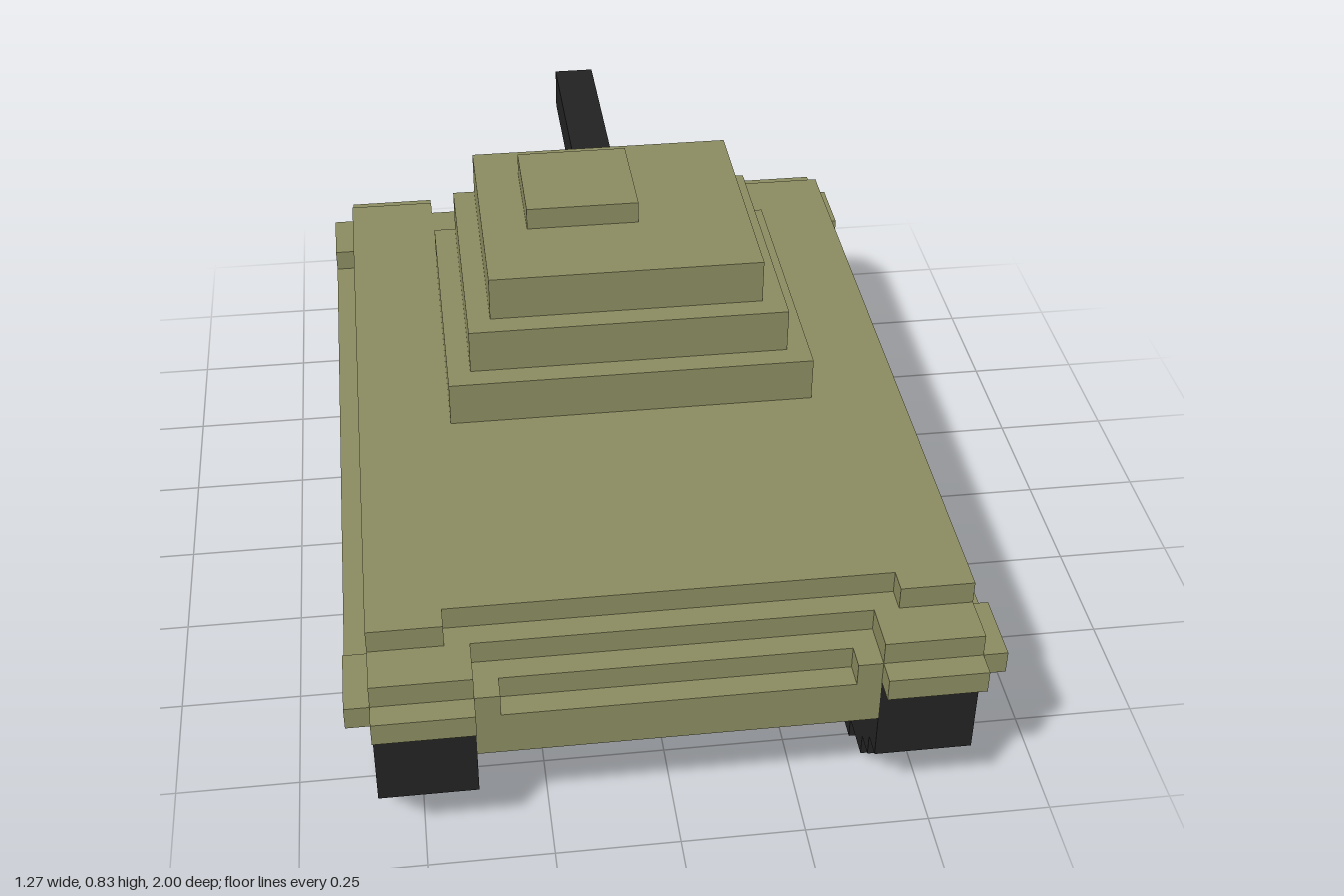
import * as THREE from 'three';

const U = 2 / 41; // one block

const olive = new THREE.MeshStandardMaterial({ color: 0x8a8b5f });
olive.name = 'olive paint';
const black = new THREE.MeshStandardMaterial({ color: 0x222222 });
black.name = 'black rubber';
const grey = new THREE.MeshStandardMaterial({ color: 0x505050 });
grey.name = 'grey wheel';

// Box from its limits, in blocks
function block(parent, name, material, x0, x1, y0, y1, z0, z1) {
  const g = new THREE.BoxGeometry(x1 - x0, y1 - y0, z1 - z0);
  g.translate((x0 + x1) / 2, (y0 + y1) / 2, (z0 + z1) / 2);
  const m = new THREE.Mesh(g, material);
  m.name = name;
  parent.add(m);
}

// Side profile (symmetric front to back) extruded across x, centred on x = 0
function sideProfile(parent, name, material, points, width, z = 0) {
  const shape = new THREE.Shape(points.map(([a, b]) => new THREE.Vector2(a, b)));
  const g = new THREE.ExtrudeGeometry(shape, { depth: width, bevelEnabled: false });
  g.translate(0, 0, -width / 2);
  g.rotateY(Math.PI / 2);
  g.translate(0, 0, z);
  const m = new THREE.Mesh(g, material);
  m.name = name;
  parent.add(m);
}

const mirrored = (half) => [...half, ...half.map(([a, b]) => [-a, b]).reverse()];

function createTrack() {
  const track = new THREE.Group();
  const outer = mirrored([[-18, 7], [-18, 3], [-17, 3], [-17, 2], [-16, 2], [-16, 1], [-14, 1], [-14, 0]]);
  const inner = mirrored([[-17, 7], [-17, 4], [-16, 4], [-16, 3], [-15, 3], [-15, 2], [-13, 2], [-13, 1]]);

  // Stepped belt with recessed side panels
  sideProfile(track, 'trackBelt', black, [...outer, ...inner.slice().reverse()], 4);
  sideProfile(track, 'trackPanel', black, inner, 2);

  // Road wheels, showing on both faces of the panel
  const road = mirrored([[-2.05, 7], [-2.2, 5.85], [-3, 5.2], [-3, 2.5], [-2.2, 1.8], [-2.05, 1]]);
  for (const z of [-8, 0, 8]) sideProfile(track, 'roadWheel', grey, road, 2.16, z);
  const end = mirrored([[-1, 7], [-1.2, 5.9], [-2, 5.2], [-2, 3.2], [-1.2, 2.8], [-1, 2]]);
  for (const z of [-15, 15]) sideProfile(track, 'endWheel', grey, end, 2.16, z);
  return track;
}

export function createModel() {
  const model = new THREE.Group();
  model.name = 'tank';

  // Hull between the tracks, with stepped and notched ends
  const hull = new THREE.Group();
  hull.name = 'hull';
  model.add(hull);
  block(hull, 'lowerHull', olive, -8, 8, 5, 7, -16.5, 19.5);
  block(hull, 'middleHull', olive, -8, 8, 7, 8, -15.5, 18.5);
  block(hull, 'upperHull', olive, -8, 8, 8, 9, -13.5, 17.5);
  block(hull, 'deck', olive, -8, 8, 9, 10, -13.5, 16.5);

  for (const s of [-1, 1]) {
    const side = s < 0 ? 'right' : 'left';
    const strip = (name, a, b, ...rest) =>
      block(hull, side + name, olive, Math.min(s * a, s * b), Math.max(s * a, s * b), ...rest);

    // Corners beside the end notches
    strip('FrontLip', 7, 8, 7, 8, 18.5, 19.5);
    strip('BackLip', 7, 8, 7, 8, -16.5, -15.5);

    // Stepped fender over the track
    strip('FenderBase', 8, 12, 7, 8, -17.5, 20.5);
    strip('FenderMiddle', 8, 12, 8, 9, -16.5, 19.5);
    strip('FenderInnerTop', 8, 9, 9, 10, -14.5, 16.5);
    strip('FenderTop', 9, 12, 9, 10, -14.5, 17.5);

    // Side skirt with raised ends
    strip('Skirt', 12, 13, 6, 7, -14.5, 17.5);
    strip('SkirtFrontEnd', 12, 13, 7, 8, 16.5, 19.5);
    strip('SkirtBackEnd', 12, 13, 7, 8, -16.5, -13.5);

    const track = createTrack();
    track.name = side + 'Track';
    track.position.set(s * 10, 0, 1.5);
    model.add(track);
  }

  // Tiered turret, hatch and gun
  const turret = new THREE.Group();
  turret.name = 'turret';
  model.add(turret);
  for (let i = 0; i < 3; i++) {
    block(turret, 'turretTier', olive, i - 8, 8 - i, 10 + 2 * i, 12 + 2 * i, -8.5, 4.5 - i);
  }
  block(turret, 'hatch', olive, -4, 1, 16, 17, -6.5, -1.5);
  block(turret, 'gunMantlet', olive, -2, 2, 12, 15, -9.5, -8.5);
  block(turret, 'gunBarrel', black, -0.95, 0.95, 12, 14, -20.5, -9.5);

  model.scale.setScalar(U);
  return model;
}
